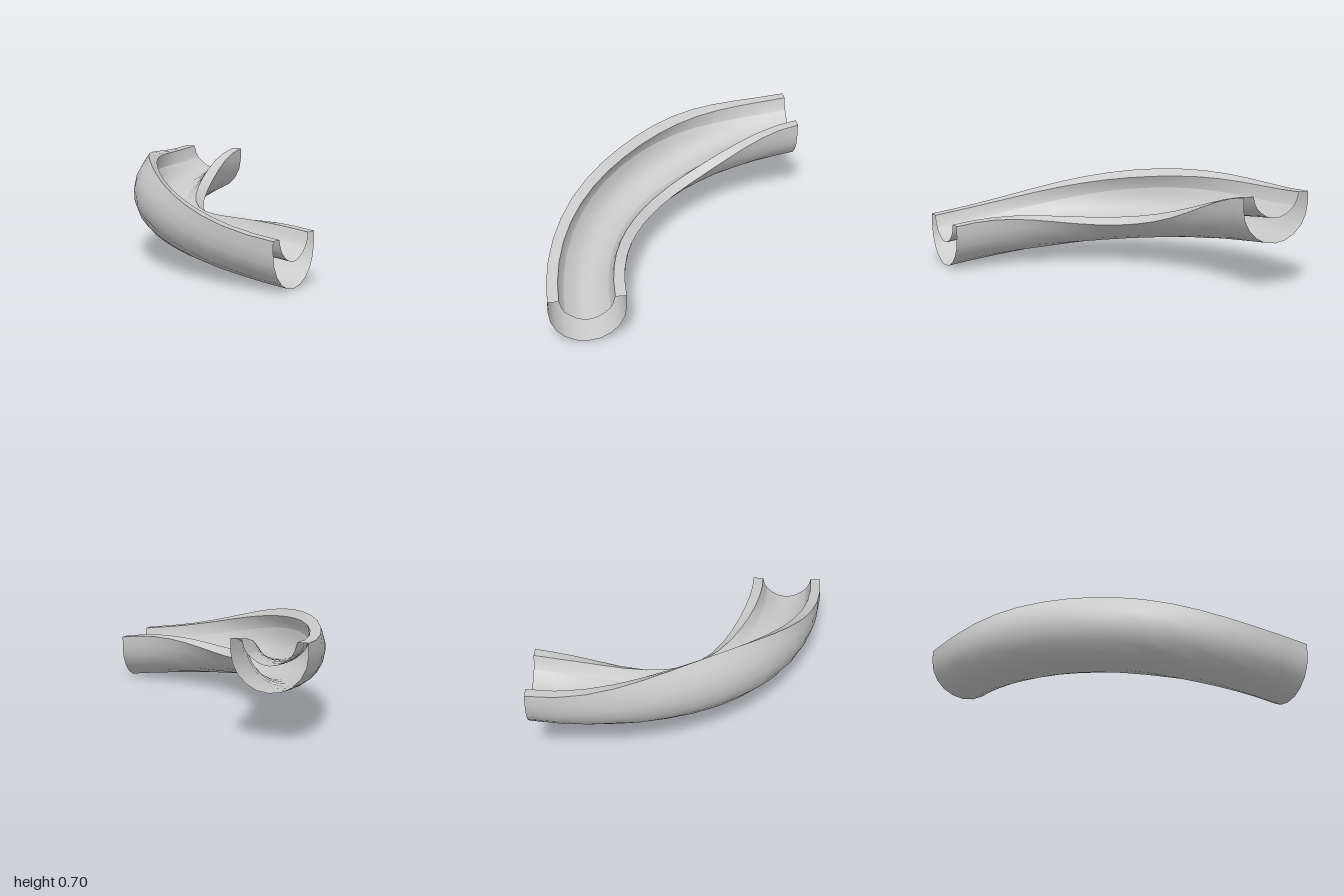
import * as THREE from 'three';

const SEGMENTS = 16;      // steps along the quarter turn
const PIVOT = 0.26;       // height of the roll axis above the underside

// Maps a section point (u outward, v up) to space at step t of the banked, climbing curve
function place(t, u, v) {
  const a = t * Math.PI / 2;
  const bank = THREE.MathUtils.degToRad(42) * Math.sin(Math.PI * Math.pow(t, 1.125)) ** 2;
  const c = Math.cos(bank), s = Math.sin(bank), h = v - PIVOT;
  const r = 1.74 + 0.05 * Math.sin(Math.PI * t) ** 2 + u * c - h * s;
  const y = 0.34 * t + PIVOT + u * s + h * c;
  return [1 - r * Math.sin(a), y, -1 + r * Math.cos(a)];
}

// Sweeps an open section line along the curve, smooth within the strip
function sweep(profile) {
  const pos = [], index = [], n = profile.length;
  for (let i = 0; i <= SEGMENTS; i++) {
    for (const [u, v] of profile) pos.push(...place(i / SEGMENTS, u, v));
  }
  for (let i = 0; i < SEGMENTS; i++) {
    for (let j = 0; j < n - 1; j++) {
      const a = i * n + j, b = a + n;
      index.push(a, b, a + 1, b, b + 1, a + 1);
    }
  }
  const g = new THREE.BufferGeometry();
  g.setAttribute('position', new THREE.Float32BufferAttribute(pos, 3));
  g.setIndex(index);
  g.computeVertexNormals();
  return g;
}

export function createModel() {
  const group = new THREE.Group();
  group.name = 'curvedSlide';
  const material = new THREE.MeshStandardMaterial({ color: 0xcccccc, side: THREE.DoubleSide });
  const add = (name, profile) => {
    const mesh = new THREE.Mesh(sweep(profile), material);
    mesh.name = name;
    group.add(mesh);
  };
  const mirror = (p) => p.map(([u, v]) => [-u, v]).reverse();

  // Round underside, from the outer rim down and back up to the inner rim
  const shell = [[0.26, 0.34]];
  for (let k = 0; k <= 10; k++) {
    const a = k * Math.PI / 10;
    shell.push([0.26 * Math.cos(a), 0.26 - 0.26 * Math.sin(a)]);
  }
  shell.push([-0.26, 0.34]);
  add('outerShell', shell);

  // Flat rims and steep side walls on both edges
  const rim = [[0.185, 0.34], [0.26, 0.34]];
  const wall = [[0.15, 0.25], [0.17, 0.285], [0.185, 0.34]];
  add('outerRim', rim);
  add('innerRim', mirror(rim));
  add('outerWall', wall);
  add('innerWall', mirror(wall));

  // Shallow dished running floor
  const floor = [];
  for (let k = -4; k <= 4; k++) {
    const u = k / 4;
    floor.push([0.15 * u, 0.175 + 0.075 * u * u]);
  }
  add('channelFloor', floor);

  return group;
}
